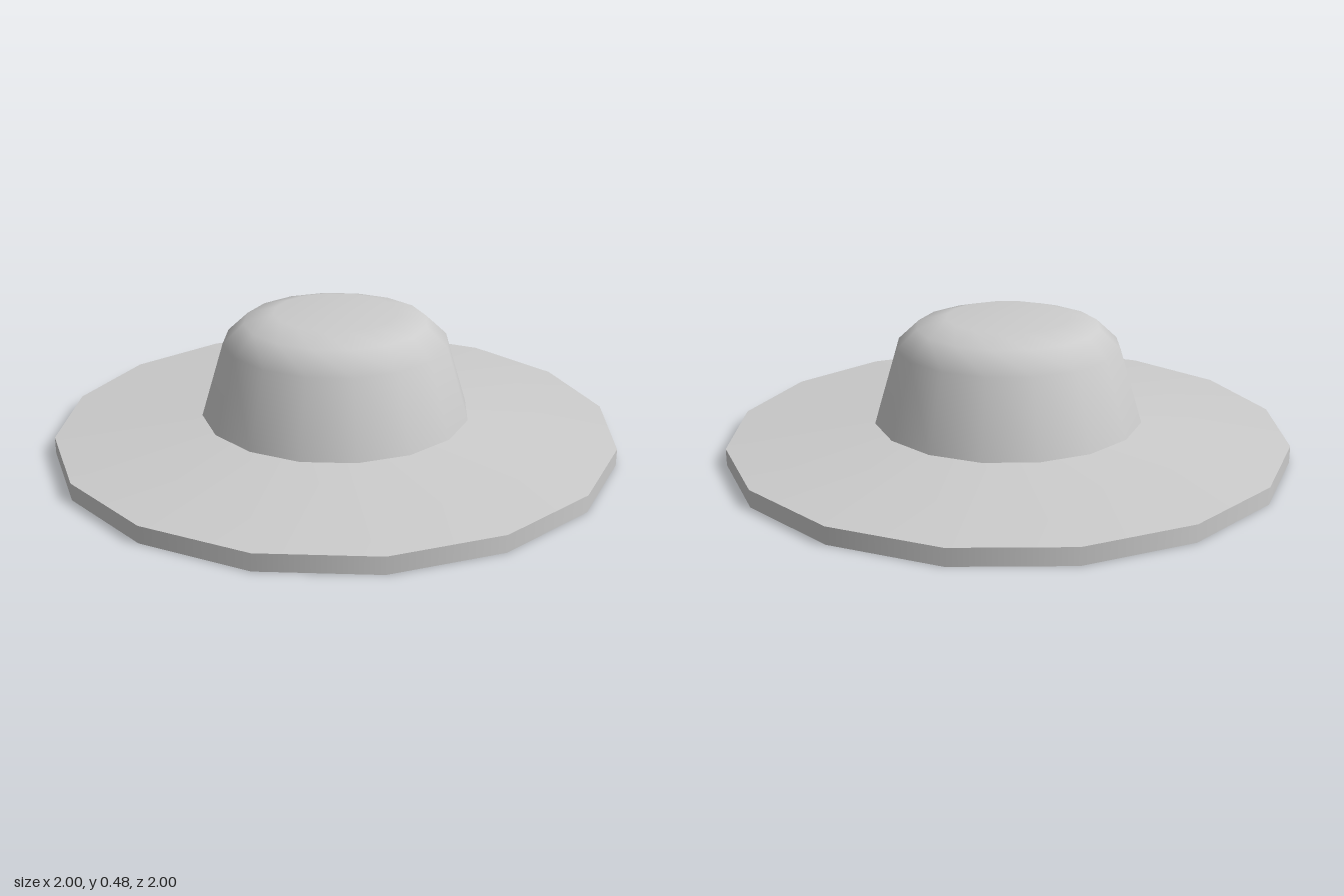
import * as THREE from 'three';

const SIDES = 16;

// Each section is its own lathe, so shading is smooth within it and creased between sections.
// Profiles run [radius, height] with the solid on the left of the direction of travel.
const sections = {
  crown: [[0.48, 0.115], [0.4, 0.38], [0.325, 0.45], [0.22, 0.48], [0, 0.48]],
  brimTop: [[1, 0.06], [0.48, 0.115]],
  brimEdge: [[1, 0], [1, 0.06]],
  brimUnderside: [[0.28, 0.05], [1, 0]],
  innerWall: [[0.27, 0.41], [0.28, 0.05]],
  innerCeiling: [[0, 0.41], [0.27, 0.41]],
};

export function createModel() {
  const hat = new THREE.Group();
  hat.name = 'hat';
  const material = new THREE.MeshStandardMaterial({ color: 0xcccccc, side: THREE.DoubleSide });

  for (const [name, profile] of Object.entries(sections)) {
    const points = profile.map(([r, y]) => new THREE.Vector2(r, y));
    const mesh = new THREE.Mesh(new THREE.LatheGeometry(points, SIDES), material);
    mesh.name = name;
    hat.add(mesh);
  }
  return hat;
}
